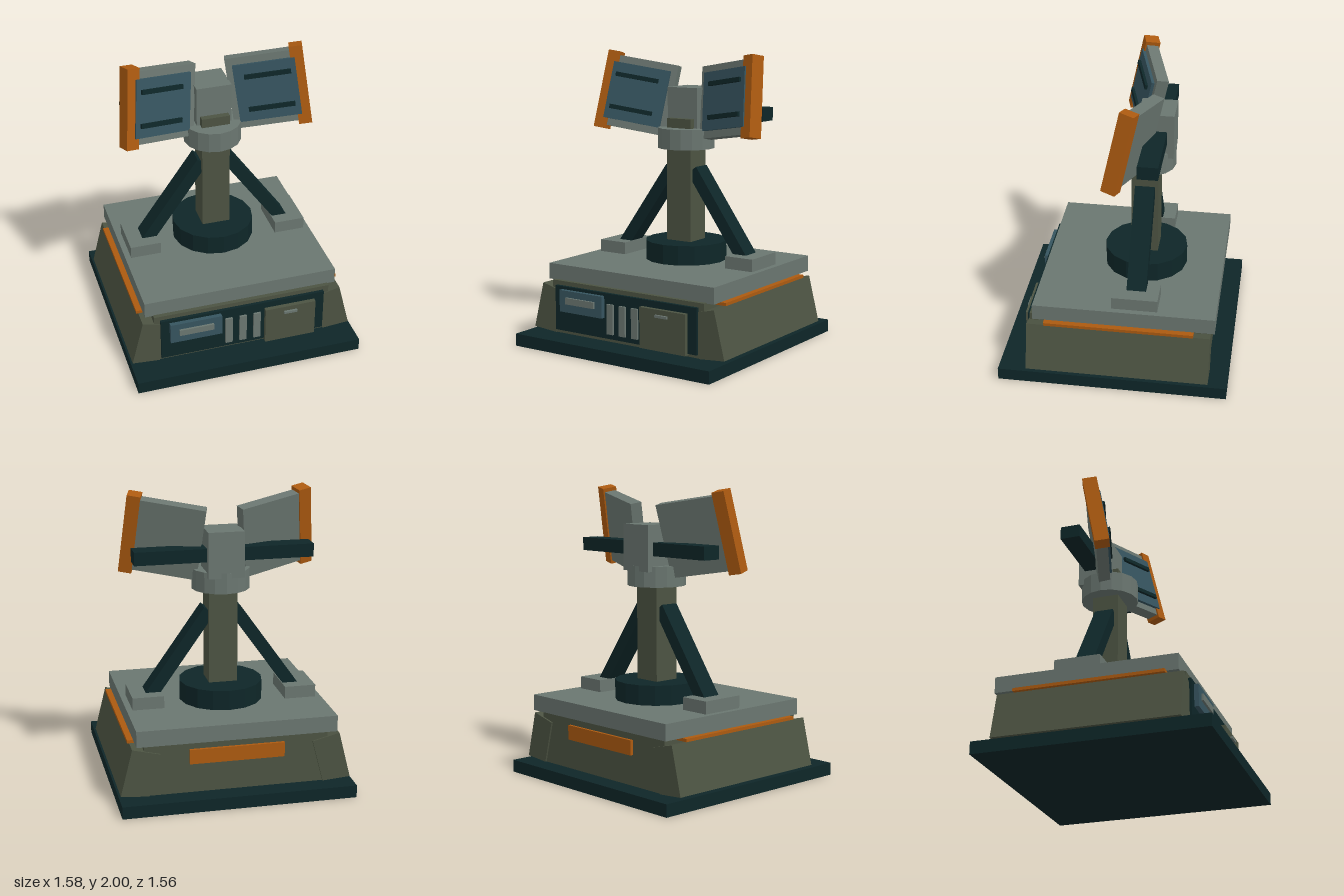
import * as THREE from 'three';

const material = (name, color) => {
  const m = new THREE.MeshStandardMaterial({ color });
  m.name = name;
  return m;
};

export function createModel() {
  const dark = material('dark teal', 0x0e2628);
  const grey = material('grey green', 0x6a7670);
  const olive = material('olive', 0x4c5342);
  const glass = material('blue glass', 0x36545f);
  const orange = material('orange', 0xac5a10);

  const model = new THREE.Group();
  model.name = 'sensorStation';

  const add = (name, geometry, mat, parent = model) => {
    const mesh = new THREE.Mesh(geometry, mat);
    mesh.name = name;
    parent.add(mesh);
    return mesh;
  };
  // Box given by its limits on each axis
  const box = (name, mat, [x0, x1], [y0, y1], [z0, z1], parent = model) => {
    const mesh = add(name, new THREE.BoxGeometry(x1 - x0, y1 - y0, z1 - z0), mat, parent);
    mesh.position.set((x0 + x1) / 2, (y0 + y1) / 2, (z0 + z1) / 2);
    return mesh;
  };
  const drum = (name, mat, radius, y0, y1, z) => {
    const geometry = new THREE.CylinderGeometry(radius, radius, y1 - y0, 16).toNonIndexed();
    geometry.computeVertexNormals();
    add(name, geometry, mat).position.set(0, (y0 + y1) / 2, z);
  };

  // Base and housing
  box('basePlate', dark, [-0.79, 0.79], [0, 0.085], [-0.78, 0.78]);
  box('housing', olive, [-0.62, 0.62], [0.08, 0.45], [-0.64, 0.58]);
  box('deck', grey, [-0.675, 0.675], [0.445, 0.555], [-0.68, 0.55]);
  box('rearStripe', orange, [-0.32, 0.32], [0.29, 0.39], [-0.66, -0.63]);

  // Front control panel
  box('frontPanel', dark, [-0.58, 0.58], [0.11, 0.42], [0.55, 0.602]);
  box('display', glass, [-0.52, -0.16], [0.25, 0.4], [0.6, 0.632]);
  box('displayBar', grey, [-0.46, -0.22], [0.31, 0.355], [0.63, 0.647]);
  for (const x of [-0.105, -0.005, 0.095]) {
    box('ventBar', grey, [x - 0.025, x + 0.025], [0.145, 0.35], [0.6, 0.617]);
  }
  box('drawer', olive, [0.15, 0.51], [0.1, 0.375], [0.59, 0.632]);
  box('drawerHandle', grey, [0.28, 0.375], [0.325, 0.342], [0.63, 0.647]);

  // Mast and head
  drum('mastSocket', dark, 0.285, 0.555, 0.69, -0.137);
  box('mast', olive, [-0.098, 0.098], [0.6, 1.54], [-0.226, -0.042]);
  drum('collar', grey, 0.198, 1.335, 1.475, -0.135);
  box('head', grey, [-0.122, 0.122], [1.44, 1.752], [-0.326, -0.085]);
  box('crossArm', dark, [-0.605, 0.605], [1.545, 1.635], [-0.28, -0.145]);

  for (const s of [1, -1]) {
    const span = (a, b) => (s > 0 ? [a, b] : [-b, -a]);

    // Sloping side slab
    const corners = [[0.59, 0.085], [0.78, 0.1], [0.7, 0.42], [0.515, 0.375]];
    const slab = new THREE.Shape(corners.map(([x, y]) => new THREE.Vector2(s * x, y)));
    add('sideSlab', new THREE.ExtrudeGeometry(slab, { depth: 1.24, bevelEnabled: false }), olive)
      .position.z = -0.652;

    box('sideStripe', orange, span(0.6, 0.715), [0.425, 0.446], [-0.54, 0.47]);
    box('braceFoot', grey, span(0.42, 0.635), [0.55, 0.64], [-0.29, 0.02]);

    // Diagonal brace from foot to mast
    const top = new THREE.Vector2(0.09, 1.19), foot = new THREE.Vector2(0.51, 0.595);
    const brace = add('brace', new THREE.BoxGeometry(0.085, top.distanceTo(foot), 0.132), dark);
    brace.position.set(s * (top.x + foot.x) / 2, (top.y + foot.y) / 2, -0.135);
    brace.rotation.z = s * Math.atan2(foot.x - top.x, top.y - foot.y);

    // Tilted sensor wing, centred on its orange end cap
    const wing = new THREE.Group();
    wing.name = s > 0 ? 'leftWing' : 'rightWing';
    wing.position.set(s * 0.59, 1.717, -0.035);
    wing.rotation.set(-0.18, s * -0.31, s * 0.1);
    model.add(wing);
    box('endCap', orange, span(-0.045, 0.045), [-0.275, 0.275], [-0.05, 0.05], wing);
    box('wingPanel', grey, span(-0.48, -0.02), [-0.25, 0.25], [-0.04, 0.04], wing);
    box('wingScreen', glass, span(-0.435, -0.015), [-0.2, 0.2], [0.03, 0.06], wing);
    for (const y of [-0.115, 0.115]) {
      box('screenSlat', dark, span(-0.365, -0.05), [y - 0.015, y + 0.015], [0.055, 0.078], wing);
    }
  }
  return model;
}
